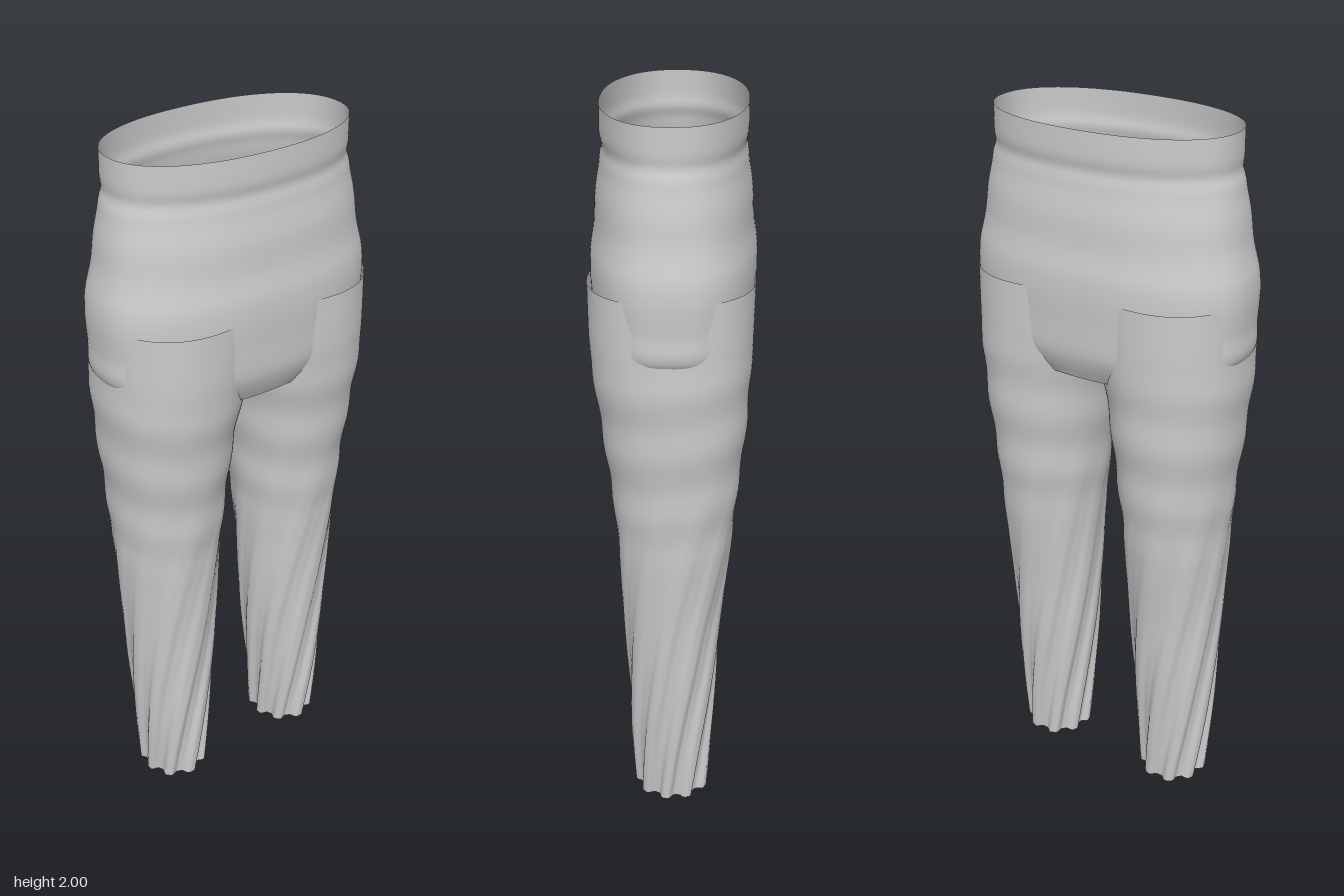
import * as THREE from 'three';

const material = new THREE.MeshStandardMaterial({ color: 0xcccccc, side: THREE.DoubleSide });

// Smooth lookup of all columns in a table of rows [y, ...values], y ascending
function sample(rows, y) {
  let i = 0;
  while (i < rows.length - 2 && y > rows[i + 1][0]) i++;
  const a = rows[i], b = rows[i + 1], h = b[0] - a[0], t = (y - a[0]) / h;
  const slope = (j, k) => {
    const p = rows[Math.max(j - 1, 0)], q = rows[Math.min(j + 1, rows.length - 1)];
    return (q[k] - p[k]) / (q[0] - p[0]);
  };
  return a.map((v, k) =>
    v * (1 + 2 * t) * (1 - t) ** 2 + b[k] * t * t * (3 - 2 * t) +
    h * (slope(i, k) * t * (1 - t) ** 2 + slope(i + 1, k) * t * t * (t - 1)));
}

// Open tube of closed rings; ring(y, angle) gives [x, z]
function tube(name, y0, y1, rows, sides, ring) {
  const pos = [], index = [];
  for (let j = 0; j <= rows; j++) {
    const y = y0 + (y1 - y0) * j / rows;
    for (let i = 0; i < sides; i++) {
      const [x, z] = ring(y, i / sides * Math.PI * 2);
      pos.push(x, y, z);
      if (j === rows) continue;
      const a = j * sides + i, b = j * sides + (i + 1) % sides;
      index.push(a, a + sides, b, b, a + sides, b + sides);
    }
  }
  const g = new THREE.BufferGeometry();
  g.setAttribute('position', new THREE.Float32BufferAttribute(pos, 3));
  g.setIndex(index);
  g.computeVertexNormals();
  const mesh = new THREE.Mesh(g, material);
  mesh.name = name;
  return mesh;
}

// Unit superellipse
function oval(angle, n) {
  const c = Math.cos(angle), s = Math.sin(angle);
  return [Math.sign(c) * Math.abs(c) ** (2 / n), Math.sign(s) * Math.abs(s) ** (2 / n)];
}

// y, half width, half depth, roundness
const HIPS = [
  [1.34, 0.27, 0.182, 2.3], [1.38, 0.34, 0.2, 2.35], [1.42, 0.393, 0.211, 2.4],
  [1.5, 0.398, 0.216, 2.4], [1.6, 0.4, 0.22, 2.4], [1.68, 0.386, 0.212, 2.35],
  [1.74, 0.375, 0.207, 2.3], [1.82, 0.362, 0.198, 2.25], [1.87, 0.354, 0.192, 2.2],
  [1.9, 0.344, 0.186, 2.2], [1.93, 0.346, 0.191, 2.2], [2, 0.345, 0.19, 2.2],
];

// y, inner x, outer x, back z, front z, roundness
const LEG = [
  [0, 0.122, 0.304, -0.1, 0.098, 2], [0.2, 0.105, 0.32, -0.112, 0.113, 2],
  [0.4, 0.086, 0.333, -0.126, 0.123, 2], [0.6, 0.072, 0.344, -0.139, 0.134, 2],
  [0.8, 0.06, 0.356, -0.161, 0.147, 2], [1, 0.044, 0.367, -0.181, 0.164, 2.05],
  [1.2, 0.024, 0.384, -0.2, 0.189, 2.1], [1.34, 0.001, 0.393, -0.208, 0.207, 2.15],
  [1.42, -0.014, 0.392, -0.212, 0.214, 2.2], [1.58, -0.028, 0.389, -0.215, 0.217, 2.2],
];

function makeLeg(name, side) {
  return tube(name, 0, 1.58, 90, 108, (y, angle) => {
    const [, inner, outer, back, front, n] = sample(LEG, y);
    const [c, s] = oval(angle, n);
    // Spiral pleats deepen towards the hem; soft horizontal folds sit on the thigh
    const phase = 9 * (angle + 1.35 * y) + 0.5 * Math.sin(2 * angle);
    const pleat = 0.011 * Math.max(0, 1 - y / 1.15) ** 1.3 * (Math.sin(phase) + 0.2 * Math.sin(3 * phase));
    const thigh = THREE.MathUtils.smoothstep(y, 0.75, 1) * (1 - THREE.MathUtils.smoothstep(y, 1.3, 1.45));
    const offset = pleat + 0.0025 * thigh * Math.sin(y * 34 + Math.sin(angle));
    const x = side * (inner + outer) / 2 + c * ((outer - inner) / 2 + offset);
    const z = (front + back) / 2 + s * ((front - back) / 2 + offset);
    return [x, z];
  });
}

export function createModel() {
  const trousers = new THREE.Group();
  trousers.name = 'trousers';

  // Hips and waistband, open at the waist and the crotch
  trousers.add(tube('hips', 1.34, 2, 66, 120, (y, angle) => {
    const [, w, d, n] = sample(HIPS, y);
    const [c, s] = oval(angle, n);
    const fold = 0.0015 * Math.sin((y - 1.6) * 42) * THREE.MathUtils.smoothstep(y, 1.58, 1.66) *
      (1 - THREE.MathUtils.smoothstep(y, 1.84, 1.9));
    return [c * (w + fold), s * (d + fold)];
  }));

  // Legs share the same direction of twist
  trousers.add(makeLeg('leftLeg', 1), makeLeg('rightLeg', -1));
  return trousers;
}
